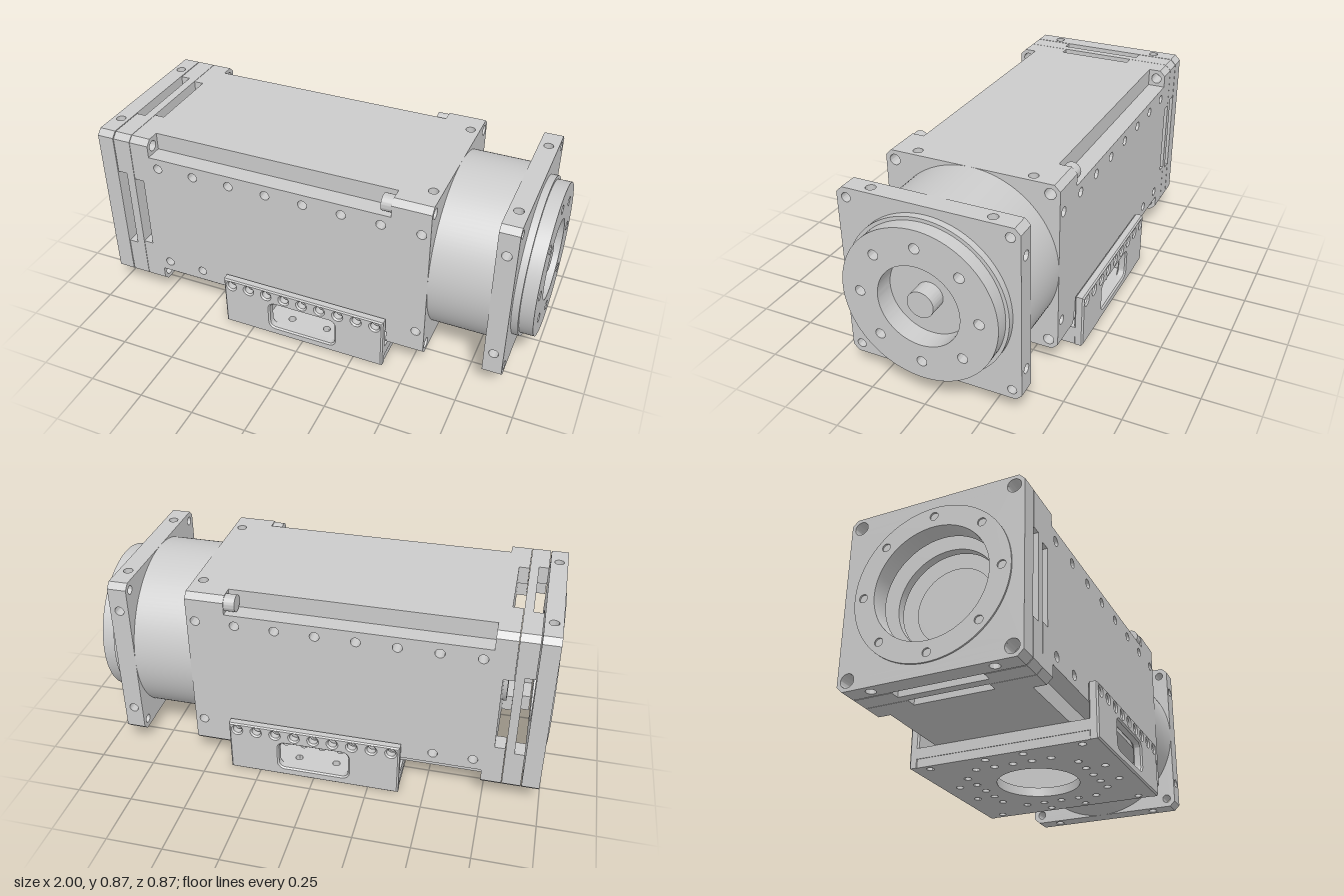
import * as THREE from 'three';
import { toCreasedNormals } from 'three/addons/utils/BufferGeometryUtils.js';

const material = new THREE.MeshStandardMaterial({ color: 0xcccccc });
const H = 0.39, IN = 0.31, CH = 0.025; // half width, inner half width, corner chamfer
const AXIS_Y = 0.48;

function add(parent, name, geometry) {
  const mesh = new THREE.Mesh(geometry, material);
  mesh.name = name;
  parent.add(mesh);
  return mesh;
}

function polygon(points) {
  return new THREE.Shape(points.map(([x, y]) => new THREE.Vector2(x, y)));
}

function circle(r) {
  return new THREE.Shape().absarc(0, 0, r, 0, Math.PI * 2);
}

function drill(shape, holes) {
  for (const [x, y, r] of holes) {
    shape.holes.push(new THREE.Path().absarc(x, y, r, 0, Math.PI * 2, true));
  }
  return shape;
}

function extrude(shape, depth, curveSegments = 20, extra = {}) {
  const g = new THREE.ExtrudeGeometry(shape, { depth, curveSegments, bevelEnabled: false, ...extra });
  return toCreasedNormals(g, 0.5);
}

// Extrude a cross-section along the x axis
function alongX(shape, x0, x1, segments) {
  return extrude(shape, x1 - x0, segments).rotateY(Math.PI / 2).translate(x0, 0, 0);
}

function ringOfHoles(count, radius, r) {
  return Array.from({ length: count }, (_, i) => {
    const a = (i / count) * Math.PI * 2;
    return [Math.cos(a) * radius, Math.sin(a) * radius, r];
  });
}

function cornerHoles(c, r) {
  return [[c, c, r], [-c, c, r], [c, -c, r], [-c, -c, r]];
}

function chamferedSquare() {
  const c = H - CH;
  return polygon([[H, -c], [H, c], [c, H], [-c, H], [-H, c], [-H, -c], [-c, -H], [c, -H]]);
}

function innerSquare() {
  return polygon([[IN, -IN], [IN, IN], [-IN, IN], [-IN, -IN]]);
}

// Side slab, turned k quarter turns about x: 0 front, 1 bottom, 2 back, 3 top
function panel(parent, name, k, x0, x1, holes = [], slotHalf = 0, slotDepth = 0) {
  const pts = [[x0, -IN], [x1, -IN], [x1, IN], [x0, IN]];
  if (slotHalf) {
    pts.push([x0, slotHalf], [x0 + slotDepth, slotHalf], [x0 + slotDepth, -slotHalf], [x0, -slotHalf]);
  }
  const g = extrude(drill(polygon(pts), holes), H - IN).translate(0, 0, IN);
  add(parent, name, g.rotateX((k * Math.PI) / 2));
}

// Four chamfered corner blocks, each with a lengthwise screw hole
function corners(parent, name, x0, x1, holeAt, holeR) {
  for (let k = 0; k < 4; k++) {
    const shape = polygon([[IN, IN], [H, IN], [H, H - CH], [H - CH, H], [IN, H]]);
    drill(shape, [[holeAt, holeAt, holeR]]);
    add(parent, name, alongX(shape, x0, x1).rotateX((k * Math.PI) / 2));
  }
}

function pair(x, r = 0.021) {
  return [[x, 0.26, r], [x, -0.26, r]];
}

function buildHousing(parent) {
  const g = new THREE.Group();
  g.name = 'housing';
  const sideHoles = [];
  for (let i = 0; i < 8; i++) sideHoles.push(...pair(-0.7 + i * 0.1745));
  for (const k of [0, 2]) panel(g, 'housingSide', k, -0.83, 0.56, sideHoles, 0.175, 0.045);
  panel(g, 'housingTop', 3, -0.83, 0.56, pair(0.52), 0.175, 0.045);
  // The underside is open above the mounting bracket
  panel(g, 'housingBottomRear', 1, -0.83, -0.2, [], 0.175, 0.045);
  panel(g, 'housingBottomFront', 1, 0.2, 0.56, pair(0.52));
  corners(g, 'rearCornerBlock', -0.83, -0.74, 0.348, 0.024);
  corners(g, 'frontCornerBlock', 0.39, 0.56, 0.348, 0.024);
  add(g, 'housingCore', alongX(innerSquare(), -0.785, 0.45));
  add(g, 'housingEndWall', alongX(innerSquare(), 0.545, 0.56));
  add(g, 'rearRotor', alongX(circle(0.17), -0.805, -0.785, 48));
  // Screw heads sitting in the corner channels
  for (const [y, z] of cornerHoles(0.35, 0)) {
    add(g, 'cornerScrew', alongX(circle(0.037), 0.342, 0.392).translate(0, y, z));
  }
  parent.add(g);
}

function buildRearPlates(parent) {
  const g = new THREE.Group();
  g.name = 'rearPlates';
  for (let k = 0; k < 4; k++) {
    panel(g, 'slottedPlateSide', k, -0.913, -0.832, [], 0.195, 0.043);
    panel(g, 'endPlateSide', k, -0.985, -0.917, k % 2 ? pair(-0.955) : []);
  }
  corners(g, 'slottedPlateCorner', -0.913, -0.832, 0.345, 0.03);
  corners(g, 'endPlateCorner', -0.985, -0.917, 0.345, 0.03);
  add(g, 'slottedPlateWeb', alongX(drill(innerSquare(), [[0, 0, 0.22]]), -0.868, -0.832, 48));
  add(g, 'endPlateWeb', alongX(drill(innerSquare(), [[0, 0, 0.25]]), -0.985, -0.917, 48));
  const face = drill(chamferedSquare(), [[0, 0, 0.25], ...cornerHoles(0.345, 0.03)]);
  add(g, 'endPlateFace', alongX(face, -0.993, -0.985, 48));
  const pilot = drill(circle(0.34), [[0, 0, 0.25], ...ringOfHoles(8, 0.3, 0.018)]);
  add(g, 'rearPilotRing', alongX(pilot, -1, -0.993, 48));
  parent.add(g);
}

function buildOutput(parent) {
  const g = new THREE.Group();
  g.name = 'outputEnd';
  add(g, 'gearDrum', alongX(circle(H), 0.56, 0.83, 64));
  // Square flange, hollow inside so its cross holes run right through
  for (const [x0, x1] of [[0.825, 0.843], [0.894, 0.91]]) {
    add(g, 'flangeFace', alongX(drill(chamferedSquare(), cornerHoles(0.348, 0.02)), x0, x1));
  }
  for (let k = 0; k < 4; k++) panel(g, 'flangeSide', k, 0.843, 0.894, pair(0.867));
  corners(g, 'flangeCorner', 0.843, 0.894, 0.348, 0.02);
  // Stepped output disc with bolt circle, recess and shaft
  add(g, 'outputCollar', alongX(drill(circle(0.355), [[0, 0, 0.18]]), 0.91, 0.94, 64));
  const disc = drill(circle(0.34), [[0, 0, 0.18], ...ringOfHoles(8, 0.26, 0.022)]);
  add(g, 'outputDisc', alongX(disc, 0.94, 1, 64));
  add(g, 'outputShaft', alongX(circle(0.058), 0.9, 0.985, 32));
  parent.add(g);
}

function buildBracket(parent) {
  const g = new THREE.Group();
  g.name = 'mountingBracket';
  // Floor with a large centre opening and a square pattern of holes
  const step = 0.0875;
  const holes = [[0, 0, 0.185]];
  for (let i = -4; i <= 4; i++) {
    for (let j = -4; j <= 4; j++) {
      const a = Math.max(Math.abs(i), Math.abs(j)), b = Math.min(Math.abs(i), Math.abs(j));
      if ((a === 3 && b < 3) || (a === 4 && (b === 1 || b === 4))) {
        holes.push([i * step, j * step, 0.017]);
      }
    }
  }
  const floor = polygon([[-0.385, -0.425], [0.385, -0.425], [0.385, 0.425], [-0.385, 0.425]]);
  add(g, 'bracketFloor', extrude(drill(floor, holes), 0.042, 32).rotateX(-Math.PI / 2));
  for (const s of [-1, 1]) {
    // Raised pad under the body
    const pad = new THREE.BoxGeometry(0.19, 0.05, 0.8);
    add(g, 'bracketPad', pad.translate(s * 0.293, 0.065, 0));
    // Side wall with a rounded window and a row of holes
    const wall = polygon([[-0.388, 0], [0.388, 0], [0.388, 0.252], [-0.388, 0.252]]);
    const rowHoles = Array.from({ length: 9 }, (_, i) => [(i - 4) * step, 0.22, 0.02]);
    drill(wall, rowHoles);
    const x = 0.16, y0 = 0.042, y1 = 0.178, r = 0.028;
    const win = new THREE.Path();
    win.absarc(x - r, y0 + r, r, -Math.PI / 2, 0);
    win.absarc(x - r, y1 - r, r, 0, Math.PI / 2);
    win.absarc(r - x, y1 - r, r, Math.PI / 2, Math.PI);
    win.absarc(r - x, y0 + r, r, Math.PI, Math.PI * 1.5);
    wall.holes.push(win);
    const b = 0.007;
    const bevel = { bevelEnabled: true, bevelSegments: 1, bevelSize: b, bevelThickness: b, bevelOffset: -b };
    const geo = extrude(wall, 0.042 - 2 * b, 12, bevel);
    add(g, 'bracketWall', geo.translate(0, 0, s > 0 ? 0.393 + b : -0.435 + b));
  }
  parent.add(g);
}

export function createModel() {
  const model = new THREE.Group();
  model.name = 'rotaryActuator';
  const body = new THREE.Group();
  body.name = 'actuatorBody';
  body.position.y = AXIS_Y;
  buildHousing(body);
  buildRearPlates(body);
  buildOutput(body);
  model.add(body);
  buildBracket(model);
  return model;
}
